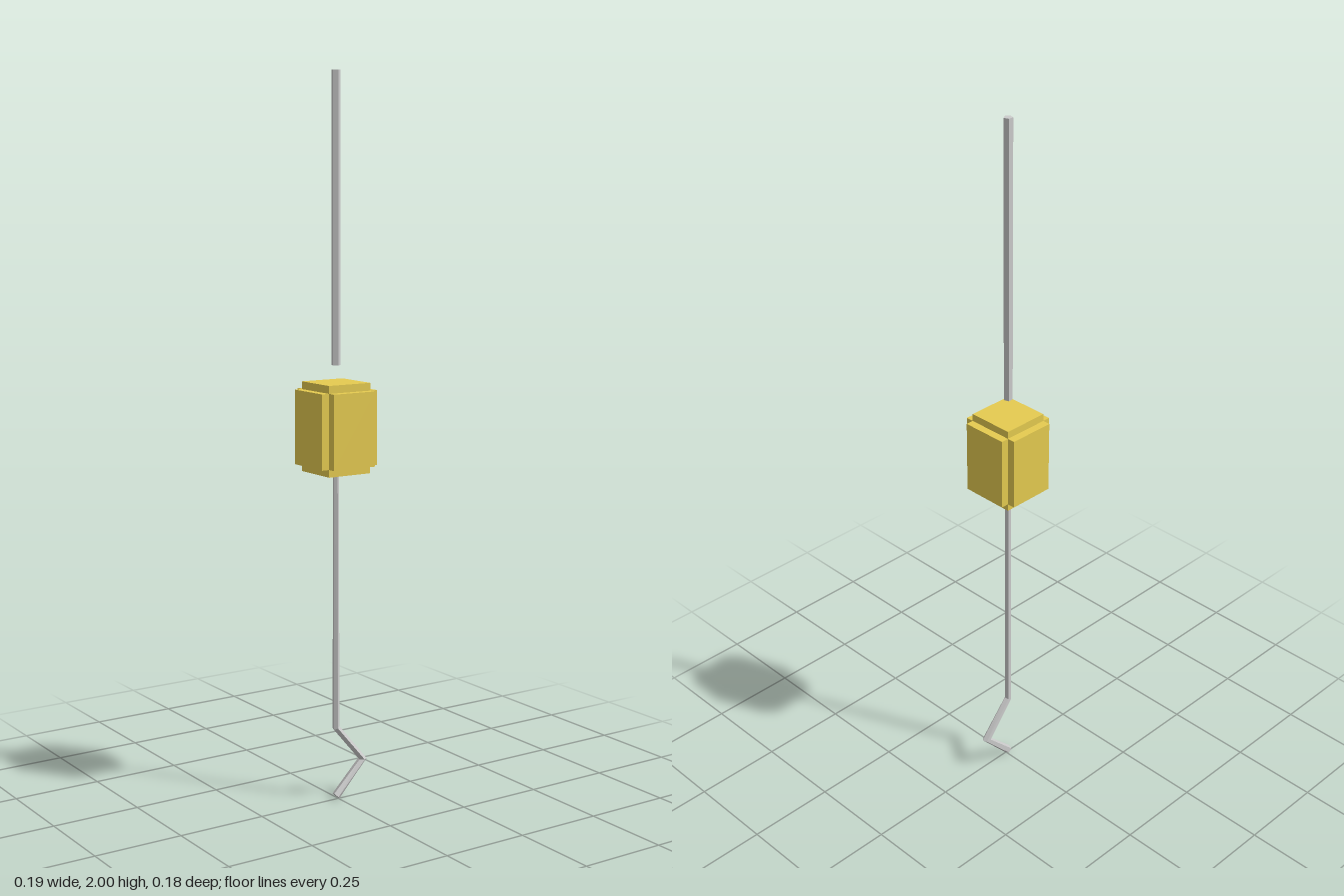
import * as THREE from 'three';

const CX = -0.007, CZ = -0.001;
const grey = new THREE.MeshStandardMaterial({ color: 0xcccccc, flatShading: true });
const yellow = new THREE.MeshStandardMaterial({ color: 0xe5cb50, flatShading: true });

// Five-sided rod through tilted rings, listed from top to bottom: [x, y, radius, tilt]
function rod(name, rings) {
  const sides = 5, pos = [], index = [];
  for (const [x, y, r, tilt] of rings) {
    for (let i = 0; i < sides; i++) {
      const a = (i / sides) * Math.PI * 2, s = r * Math.sin(a);
      pos.push(x + s * Math.cos(tilt), y + s * Math.sin(tilt), CZ + r * Math.cos(a));
    }
  }
  const last = (rings.length - 1) * sides;
  for (let k = 0; k < last; k += sides) {
    for (let i = 0; i < sides; i++) {
      const j = (i + 1) % sides;
      index.push(k + i, k + sides + i, k + sides + j, k + i, k + sides + j, k + j);
    }
  }
  // end caps
  for (let i = 1; i < sides - 1; i++) {
    index.push(0, i, i + 1, last, last + i + 1, last + i);
  }
  const geo = new THREE.BufferGeometry();
  geo.setAttribute('position', new THREE.Float32BufferAttribute(pos, 3));
  geo.setIndex(index);
  const flat = geo.toNonIndexed();
  flat.computeVertexNormals();
  const mesh = new THREE.Mesh(flat, grey);
  mesh.name = name;
  return mesh;
}

export function createModel() {
  const model = new THREE.Group();
  model.name = 'hangingHook';

  // upper rod, floating just above the block
  model.add(rod('upperRod', [[CX, 2, 0.0125, 0], [CX, 1.222, 0.0125, 0]]));

  // block made of three crossing boxes, each longer along one axis
  const block = new THREE.Group();
  block.name = 'block';
  block.position.set(CX, 1.053, CZ);
  const sizes = {
    blockWide: [0.178, 0.204, 0.133],
    blockTall: [0.133, 0.246, 0.133],
    blockDeep: [0.133, 0.204, 0.178],
  };
  for (const [name, size] of Object.entries(sizes)) {
    const box = new THREE.Mesh(new THREE.BoxGeometry(...size), yellow);
    box.name = name;
    block.add(box);
  }
  model.add(block);

  // lower rod bent into a hook
  model.add(rod('lowerRodAndHook', [
    [CX, 0.95, 0.0085, 0],
    [CX, 0.21, 0.0105, 0.4],
    [0.082, 0.104, 0.0125, 0],
    [CX, 0.012, 0.0125, -0.8],
  ]));
  return model;
}
